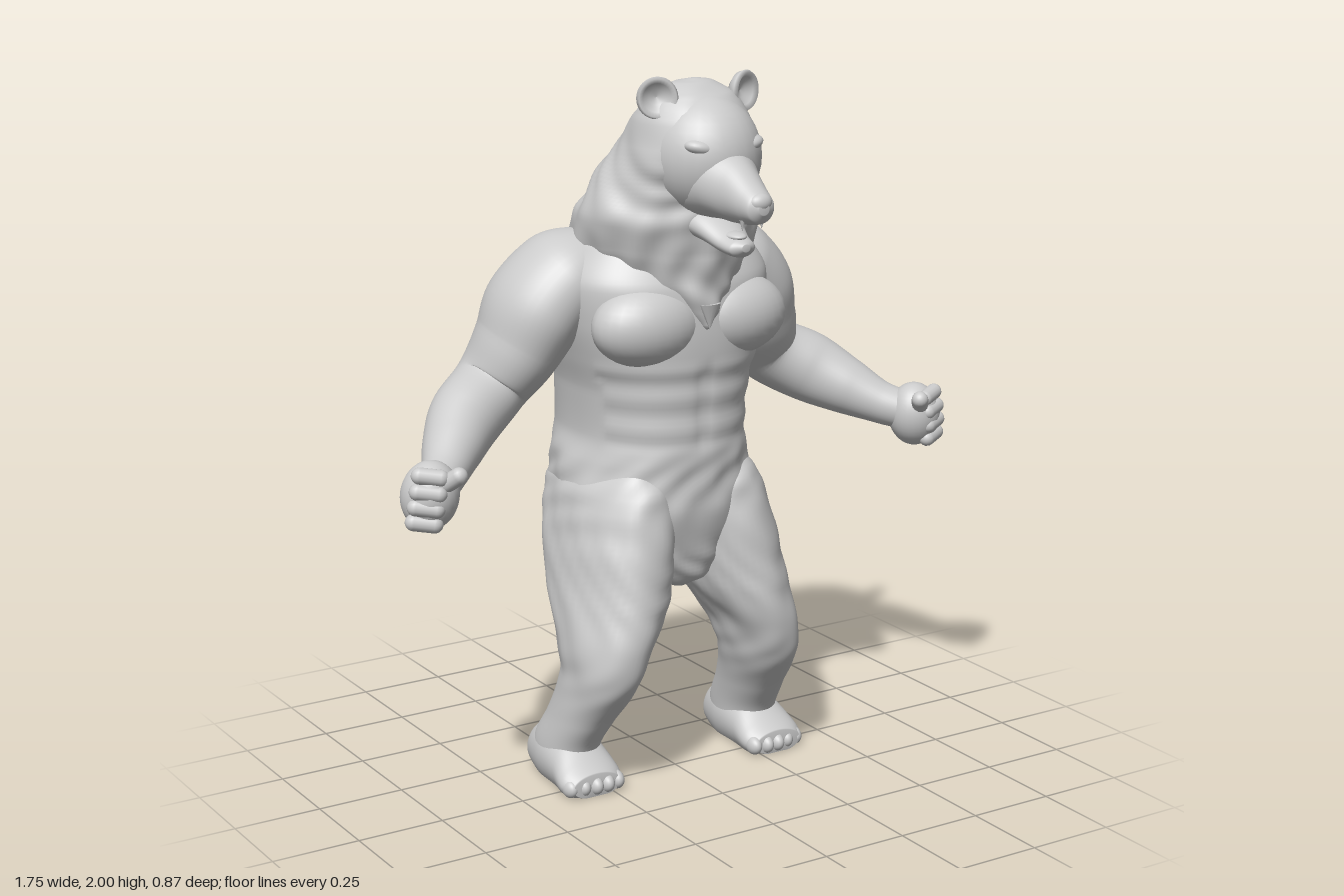
import * as THREE from 'three';

const grey = new THREE.MeshStandardMaterial({ color: 0xcccccc });
const X = new THREE.Vector3(1, 0, 0), Y = new THREE.Vector3(0, 1, 0), Z = new THREE.Vector3(0, 0, 1);

// Smooth skin over elliptical sections [x, y, z, radiusU, radiusV].
// dir fixes the ring normal; without it the rings follow the path.
function loft(sections, { dir = null, power = 1, rows = 48, cols = 40 } = {}) {
  const path = new THREE.CatmullRomCurve3(sections.map(s => new THREE.Vector3(s[0], s[1], s[2])));
  const size = new THREE.CatmullRomCurve3(sections.map(s => new THREE.Vector3(s[3], s[4], 0)));
  const pos = [], idx = [];
  const soft = v => Math.sign(v) * Math.abs(v) ** power;
  for (let i = -1; i <= rows + 1; i++) {
    const t = Math.min(1, Math.max(0, i / rows)), cap = i < 0 || i > rows ? 0 : 1;
    const c = path.getPoint(t), r = size.getPoint(t);
    const T = dir || path.getTangent(t);
    const U = dir ? X : new THREE.Vector3().crossVectors(T, Z).normalize();
    const V = new THREE.Vector3().crossVectors(T, U);
    for (let j = 0; j < cols; j++) {
      const a = j / cols * Math.PI * 2;
      const p = c.clone().addScaledVector(U, cap * r.x * soft(Math.cos(a)))
        .addScaledVector(V, cap * r.y * soft(Math.sin(a)));
      pos.push(p.x, p.y, p.z);
    }
  }
  for (let i = 0; i < rows + 2; i++) for (let j = 0; j < cols; j++) {
    const k = (j + 1) % cols, a = i * cols + j, b = i * cols + k;
    idx.push(a, b, b + cols, a, b + cols, a + cols);
  }
  const g = new THREE.BufferGeometry();
  g.setAttribute('position', new THREE.Float32BufferAttribute(pos, 3));
  g.setIndex(idx);
  g.computeVertexNormals();
  return g;
}

// Push the surface along its normals by amount(x, y, z).
function displace(g, amount) {
  const p = g.attributes.position, n = g.attributes.normal;
  for (let i = 0; i < p.count; i++) {
    const x = p.getX(i), y = p.getY(i), z = p.getZ(i), d = amount(x, y, z);
    p.setXYZ(i, x + n.getX(i) * d, y + n.getY(i) * d, z + n.getZ(i) * d);
  }
  g.computeVertexNormals();
  return g;
}

// Wavy, mostly vertical fur locks.
const fur = (x, y, z) =>
  Math.sin(46 * x + 5 * Math.sin(9 * y + 4 * z)) * Math.sin(40 * z + 4 * Math.sin(11 * y)) * 0.6
  + Math.sin(23 * y + 31 * x * x + 17 * z) * 0.4;
const step = THREE.MathUtils.smoothstep;

// Horizontal section from half width, front z and back z.
const ring = (y, rx, front, back, x = 0) => [x, y, (front + back) / 2, rx, (front - back) / 2];

export function createModel() {
  const model = new THREE.Group();
  const add = (name, g, parent = model) => {
    const m = new THREE.Mesh(g, grey);
    m.name = name;
    parent.add(m);
    return m;
  };
  const blob = (name, c, r, parent = model) => {
    const m = add(name, new THREE.SphereGeometry(1, 28, 20), parent);
    m.position.set(...c);
    m.scale.set(...r);
    return m;
  };

  // Torso: furry hips, lean belly, broad chest
  add('torso', displace(loft([
    ring(0.54, 0.03, -0.02, -0.16), ring(0.58, 0.10, 0.08, -0.25), ring(0.66, 0.2, 0.12, -0.35),
    ring(0.8, 0.275, 0.14, -0.41), ring(0.92, 0.26, 0.15, -0.425), ring(1.0, 0.24, 0.15, -0.43),
    ring(1.13, 0.25, 0.155, -0.415), ring(1.22, 0.275, 0.165, -0.4), ring(1.32, 0.3, 0.165, -0.375),
    ring(1.43, 0.31, 0.15, -0.345), ring(1.53, 0.25, 0.1, -0.3), ring(1.62, 0.12, 0.05, -0.2),
  ], { dir: Y, power: 0.86, rows: 90, cols: 96 }), (x, y, z) => {
    const furry = 1 - step(y, 0.88, 1.0);
    const abs = z > 0 ? step(y, 0.95, 1.02) * (1 - step(y, 1.18, 1.24)) : 0;
    return furry * 0.009 * fur(x, y, z)
      - abs * (0.008 * Math.exp(-((x / 0.02) ** 2)) + 0.003 * Math.cos(y * 70));
  }));

  // Mane flowing from the crown over the neck to the chest and upper back
  add('mane', displace(loft([
    ring(1.32, 0.02, 0.17, -0.25), ring(1.36, 0.09, 0.185, -0.32), ring(1.43, 0.185, 0.185, -0.345),
    ring(1.52, 0.25, 0.185, -0.33), ring(1.61, 0.255, 0.2, -0.285), ring(1.7, 0.215, 0.225, -0.23),
    ring(1.8, 0.178, 0.27, -0.155), ring(1.88, 0.155, 0.245, -0.085), ring(1.945, 0.11, 0.185, 0.0),
    ring(1.975, 0.055, 0.13, 0.05), ring(1.982, 0.01, 0.1, 0.08),
  ], { dir: Y, rows: 90, cols: 96 }),
    (x, y, z) => 0.012 * fur(x, y, z) * (1 - step(y, 1.7, 1.86) * 0.8) * (1 - step(z, 0.2, 0.26))));
  const tuft = add('chestTuft', new THREE.ConeGeometry(0.035, 0.07, 12));
  tuft.position.set(0, 1.35, 0.175);
  tuft.rotation.x = Math.PI;
  tuft.scale.z = 0.5;

  // Head
  const head = new THREE.Group();
  head.name = 'head';
  model.add(head);
  blob('skull', [0, 1.785, 0.14], [0.155, 0.165, 0.16], head);
  add('snout', loft([
    [0, 1.73, 0.18, 0.12, 0.11], [0, 1.725, 0.26, 0.095, 0.095], [0, 1.708, 0.32, 0.068, 0.08],
    [0, 1.688, 0.38, 0.052, 0.056], [0, 1.68, 0.415, 0.042, 0.04], [0, 1.68, 0.432, 0.015, 0.015],
  ], { dir: Z }), head);
  blob('nose', [0, 1.695, 0.41], [0.034, 0.026, 0.025], head);
  add('lowerJaw', loft([
    [0, 1.63, 0.1, 0.1, 0.06], [0, 1.605, 0.21, 0.075, 0.045], [0, 1.57, 0.29, 0.05, 0.03],
    [0, 1.562, 0.33, 0.04, 0.024], [0, 1.565, 0.35, 0.012, 0.01],
  ], { dir: Z }), head);
  blob('tongue', [0, 1.59, 0.29], [0.028, 0.012, 0.045], head);

  // Cupped ear, opening forward
  const earProfile = [[0, -0.032], [0.03, -0.027], [0.05, -0.01], [0.056, 0.008], [0.05, 0.018],
    [0.038, 0.008], [0.02, -0.006], [0, -0.01]].map(p => new THREE.Vector2(...p));

  for (const s of [1, -1]) {
    const side = s > 0 ? 'left' : 'right';
    const mirror = list => list.map(([x, ...rest]) => [s * x, ...rest]);

    const ear = add(side + 'Ear', new THREE.LatheGeometry(earProfile, 32), head);
    ear.position.set(s * 0.135, 1.943, 0.125);
    ear.rotation.set(Math.PI / 2, 0, -s * 0.4);
    blob(side + 'Brow', [s * 0.068, 1.82, 0.238], [0.052, 0.024, 0.04], head).rotation.z = s * 0.2;
    blob(side + 'Eye', [s * 0.07, 1.785, 0.262], [0.017, 0.012, 0.015], head);
    const fang = add(side + 'Fang', new THREE.ConeGeometry(0.008, 0.03, 10), head);
    fang.position.set(s * 0.03, 1.632, 0.375);
    fang.rotation.x = Math.PI;

    // Chest and shoulder blade muscles
    blob(side + 'Pectoral', [s * 0.135, 1.325, 0.075], [0.165, 0.115, 0.11]);
    blob(side + 'ShoulderBlade', [s * 0.19, 1.36, -0.24], [0.15, 0.17, 0.105]);

    // Arm from inside the chest to the wrist
    add(side + 'Arm', loft(mirror([
      [0.15, 1.49, -0.14, 0.08, 0.11], [0.26, 1.43, -0.165, 0.13, 0.165], [0.335, 1.355, -0.18, 0.132, 0.168],
      [0.385, 1.25, -0.2, 0.118, 0.148], [0.455, 1.135, -0.23, 0.1, 0.118], [0.565, 1.07, -0.17, 0.103, 0.1],
      [0.65, 1.015, -0.085, 0.083, 0.082], [0.715, 0.975, -0.01, 0.062, 0.062], [0.78, 0.95, 0.05, 0.055, 0.055],
    ]), { rows: 70 }));

    // Clenched fist
    const fist = new THREE.Group();
    fist.name = side + 'Fist';
    fist.position.set(s * 0.79, 0.945, 0.055);
    fist.rotation.set(0, s * 0.45, s * 0.15);
    model.add(fist);
    blob('palm', [0, 0, 0], [0.078, 0.094, 0.075], fist);
    for (let i = 0; i < 4; i++) {
      const finger = add('finger', new THREE.CapsuleGeometry(0.023, 0.055, 6, 14), fist);
      finger.position.set(s * 0.008, 0.062 - i * 0.042, 0.058 - Math.abs(i - 1.5) * 0.006);
      finger.rotation.z = Math.PI / 2;
    }
    const thumb = add('thumb', new THREE.CapsuleGeometry(0.024, 0.06, 6, 14), fist);
    thumb.position.set(-s * 0.045, 0.055, 0.045);
    thumb.rotation.set(0.5, 0, s * 0.7);

    // Leg: heavy thigh, forward knee, set-back ankle
    add(side + 'Leg', displace(loft(mirror([
      ring(0.05, 0.08, 0.0, -0.215, 0.3), ring(0.11, 0.082, 0.015, -0.215, 0.298),
      ring(0.2, 0.082, 0.075, -0.165, 0.285), ring(0.33, 0.094, 0.17, -0.12, 0.262),
      ring(0.43, 0.11, 0.192, -0.17, 0.243), ring(0.55, 0.138, 0.19, -0.27, 0.2),
      ring(0.7, 0.148, 0.165, -0.34, 0.165), ring(0.84, 0.13, 0.14, -0.36, 0.15),
      ring(0.96, 0.06, 0.06, -0.25, 0.14),
    ]), { dir: Y, power: 0.92, rows: 70, cols: 56 }),
      (x, y, z) => 0.006 * fur(x, y, z) * step(y, 0.15, 0.5)));

    // Foot with a flat sole and toes
    const foot = new THREE.Group();
    foot.name = side + 'Foot';
    model.add(foot);
    const sole = loft(mirror([
      [0.3, 0.05, -0.24, 0.02, 0.02], [0.3, 0.06, -0.215, 0.065, 0.07], [0.3, 0.065, -0.13, 0.085, 0.1],
      [0.302, 0.055, -0.03, 0.09, 0.085], [0.305, 0.035, 0.04, 0.096, 0.055], [0.305, 0.03, 0.08, 0.075, 0.035],
    ]), { dir: Z });
    const p = sole.attributes.position;
    for (let i = 0; i < p.count; i++) p.setY(i, Math.max(0, p.getY(i)));
    sole.computeVertexNormals();
    add('sole', sole, foot);
    for (let i = 0; i < 5; i++) {
      blob('toe', [s * (0.233 + i * 0.036), 0.028, 0.07 - 0.008 * Math.abs(i - 1.5)], [0.021, 0.027, 0.032], foot);
    }
  }

  // Stubby tail
  add('tail', loft([
    [0, 0.8, -0.37, 0.03, 0.03], [0, 0.72, -0.365, 0.05, 0.045], [0, 0.64, -0.335, 0.045, 0.04],
    [0, 0.6, -0.315, 0.03, 0.028], [0, 0.585, -0.308, 0.008, 0.008],
  ], { rows: 24, cols: 24 }));

  return model;
}
